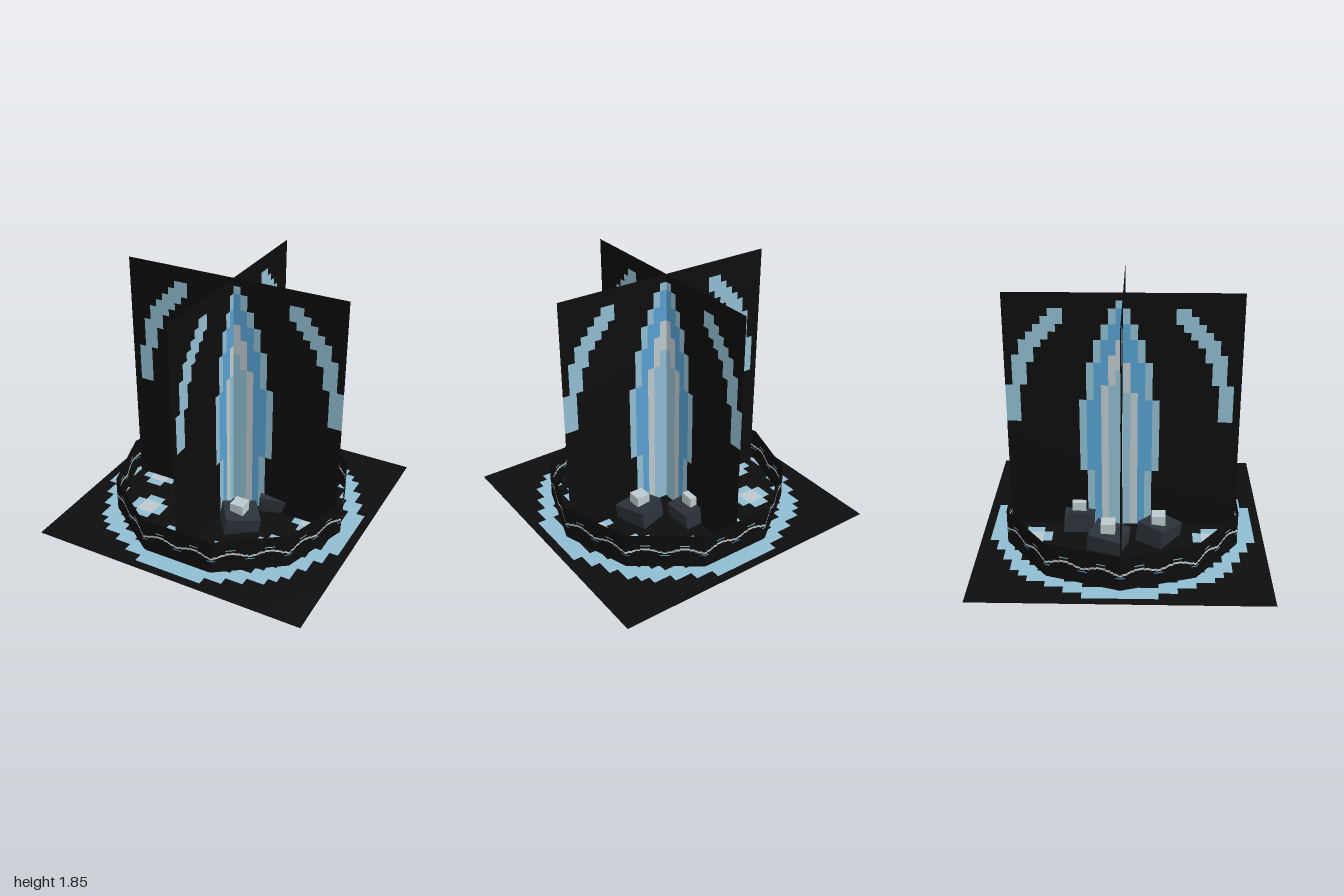
import * as THREE from 'three';

const mat = (name, color, side = THREE.DoubleSide) => {
  const m = new THREE.MeshStandardMaterial({ color, side });
  m.name = name;
  return m;
};

const N = 32; // painted panels are N x N cells
const BLACK = 0, CYAN = 1, BLUE = 2, GREY = 3;

// Plane whose cells are sorted into one group per colour by paint(col, row)
function paintedPanel(w, h, paint) {
  const geo = new THREE.PlaneGeometry(w, h, N, N);
  const old = geo.index.array;
  const lists = [[], [], [], []];
  for (let row = 0; row < N; row++) {
    for (let col = 0; col < N; col++) {
      const start = (row * N + col) * 6;
      lists[paint(col, row)].push(...old.slice(start, start + 6));
    }
  }
  geo.setIndex(lists.flat());
  geo.clearGroups();
  let at = 0;
  lists.forEach((list, i) => {
    if (list.length) geo.addGroup(at, list.length, i);
    at += list.length;
  });
  return geo;
}

// Crystal spire: stepped outline [first row, half width], bright streaks and side arcs
const OUTLINE = [[1, 0], [2, 1], [4, 2], [6, 3], [9, 4], [14, 5], [24, 4]];
const STREAKS = { 14: [13, 32], 15: [9, 13], 16: [6, 10], 17: [8, 12], 18: [12, 32] };
const ARC = [[7, 2, 3], [6, 3, 4], [5, 4, 5], [4, 5, 6], [3, 6, 8], [2, 8, 11], [1, 12, 16]];

function paintSpire(col, row) {
  const d = Math.abs(col - 16);
  let half = -1;
  for (const [r, w] of OUTLINE) if (row >= r) half = w;
  if (d <= half) {
    const s = STREAKS[col];
    if (s && row >= s[0]) return row < s[1] ? GREY : CYAN;
    return d === half ? CYAN : BLUE;
  }
  const c = 16 - d;
  return ARC.some(([c0, r0, r1]) => c >= c0 && c <= c0 + 1 && row >= r0 && row <= r1) ? CYAN : BLACK;
}

// Floor: a ring and ten round spots
const SPOTS = [[3, 10], [8, 6], [10, 0]];

function paintFloor(col, row) {
  const x = Math.abs(col - 15.5), z = Math.abs(row - 15.5);
  const r = Math.hypot(x, z);
  if (r >= 13 && r < 14.95) return CYAN;
  for (const [sx, sz] of SPOTS) {
    const dx = Math.abs(x - sx), dz = Math.abs(z - sz);
    if (dx < 1 && dz < 1) return GREY;
    if (dx < 2 && dz < 2 && (dx < 1 || dz < 1)) return CYAN;
  }
  return BLACK;
}

// Border: wavy line with dashes above the crests and below the troughs
function paintBorder(col, row) {
  const wave = Math.cos(4 * Math.PI * (col + 0.5) / N);
  const line = Math.round(14.7 + 2 * wave);
  if (row === line || row === line + 1) return GREY;
  if (row === 10 && wave < -0.8) return CYAN;
  if (row === 20 && wave > 0.8) return BLUE;
  return BLACK;
}

export function createModel() {
  const group = new THREE.Group();
  const paints = [
    mat('black', 0x0d0d0d), mat('pale blue', 0x90bcd0),
    mat('blue', 0x58a0d0), mat('light grey', 0xbcc8cc),
  ];
  const rockMat = mat('slate', 0x2a3138, THREE.FrontSide);
  const FLOOR = 0.1;

  const add = (name, geo, material, x, y, z, parent = group) => {
    const m = new THREE.Mesh(geo, material);
    m.name = name;
    m.position.set(x, y, z);
    parent.add(m);
    return m;
  };

  // Floor panel
  add('floor', paintedPanel(2, 2, paintFloor), paints, 0, FLOOR, 0).rotation.x = -Math.PI / 2;

  // Two crossed spire panels
  const spire = paintedPanel(1.62, 1.75, paintSpire);
  add('spirePanelFront', spire, paints, 0, FLOOR + 0.875, 0);
  add('spirePanelSide', spire, paints, 0, FLOOR + 0.875, 0).rotation.y = Math.PI / 2;

  // Ten-sided border wall
  const R = 0.85, step = Math.PI / 5;
  const apothem = R * Math.cos(step / 2);
  const wall = paintedPanel(2 * R * Math.sin(step / 2), 0.25, paintBorder);
  const border = new THREE.Group();
  border.name = 'borderWall';
  group.add(border);
  for (let i = 0; i < 10; i++) {
    const a = i * step;
    add('borderPanel', wall, paints, apothem * Math.sin(a), FLOOR + 0.125, apothem * Math.cos(a), border)
      .rotation.y = a;
  }

  // Five tilted rocks, each with a small pale block on top
  const rockGeo = new THREE.BoxGeometry(0.245, 0.2, 0.215);
  const blockGeo = new THREE.BoxGeometry(0.1, 0.1, 0.1);
  const tilts = [[-0.06, 0.13], [0.08, -0.1], [0.09, -0.12], [0.09, -0.12], [0.08, 0.1]];
  tilts.forEach(([tx, tz], i) => {
    const a = Math.PI + i * Math.PI * 2 / 5;
    const x = 0.315 * Math.sin(a), z = 0.315 * Math.cos(a);
    add('rock', rockGeo, rockMat, x, 0.125, z).rotation.set(tx, a, tz, 'YXZ');
    add('rockBlock', blockGeo, paints[GREY], x, 0.245, z);
  });

  return group;
}
